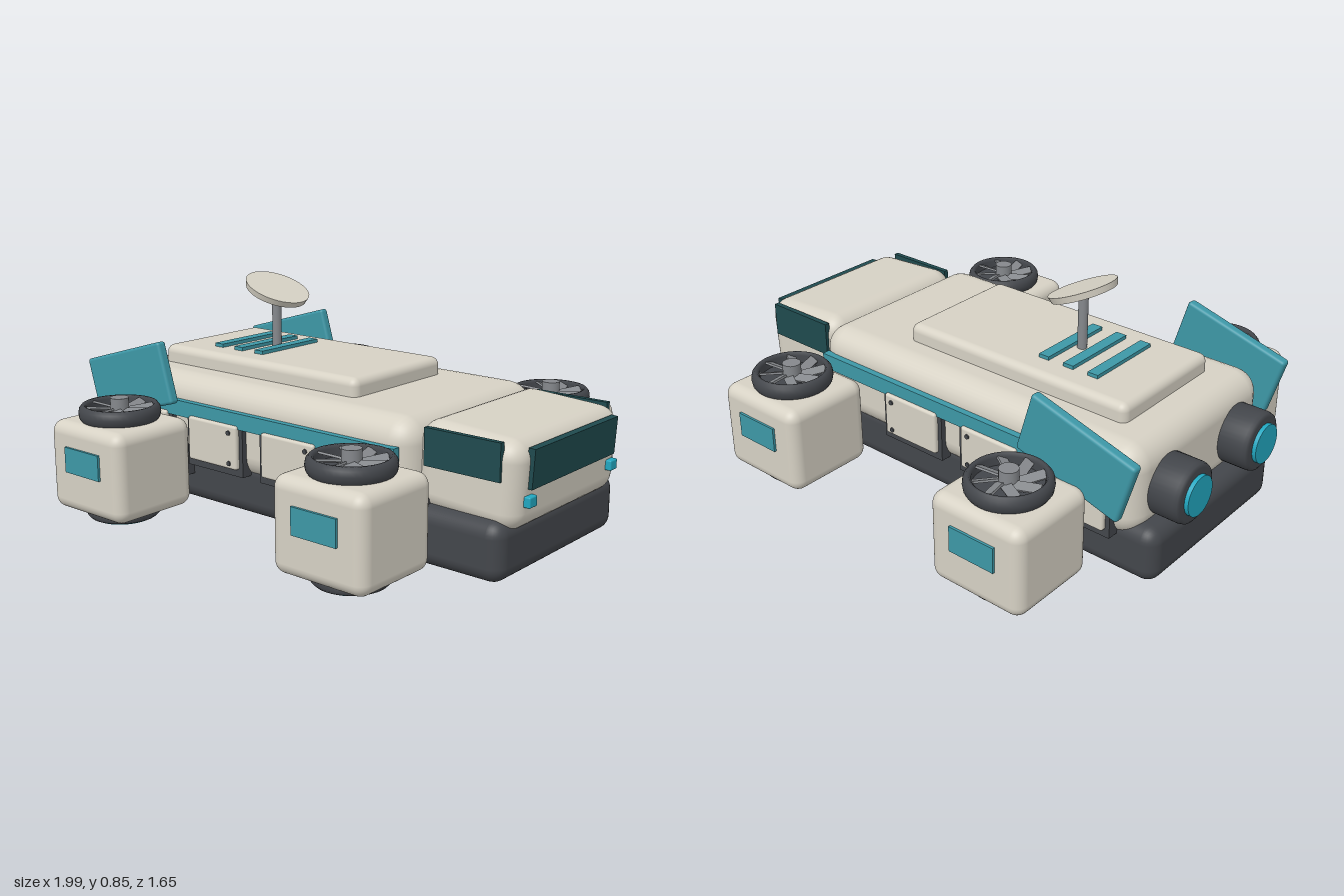
import * as THREE from 'three';
import { RoundedBoxGeometry } from 'three/addons/geometries/RoundedBoxGeometry.js';

const mat = (color) => new THREE.MeshStandardMaterial({ color });
const HULL = mat(0xd6d1c4), DARK = mat(0x43464b), TEAL = mat(0x3d97a6);
const GLASS = mat(0x1f4a4e), LAMP = mat(0x22a7c0), METAL = mat(0x85888c);

function add(parent, name, geometry, material, x, y, z) {
  const mesh = new THREE.Mesh(geometry, material);
  mesh.name = name;
  mesh.position.set(x, y, z);
  parent.add(mesh);
  return mesh;
}
const box = (w, h, d) => new THREE.BoxGeometry(w, h, d);
const rounded = (w, h, d, r) => new RoundedBoxGeometry(w, h, d, 4, r);
const cyl = (r, h, n = 32) => new THREE.CylinderGeometry(r, r, h, n);
const lathe = (pts) => new THREE.LatheGeometry(pts.map(([r, y]) => new THREE.Vector2(r, y)), 40);

// Lift pod with a fan on top and a thruster below; side is +1 or -1 along z
function liftPod(x, z, side) {
  const pod = new THREE.Group();
  pod.name = 'liftPod';
  pod.position.set(x, 0, z * side);
  add(pod, 'podShell', rounded(0.385, 0.335, 0.358, 0.045), HULL, 0, 0.208, 0);
  add(pod, 'podVent', box(0.185, 0.095, 0.02), TEAL, 0, 0.242, side * 0.178);
  add(pod, 'podArm', box(0.22, 0.12, 0.34), DARK, 0, 0.185, side * -0.2);

  // Fan: rounded ring, recessed floor, pitched blades and hub
  add(pod, 'fanRing', lathe([[0.12, 0.37], [0.137, 0.37], [0.147, 0.385], [0.15, 0.402],
    [0.147, 0.42], [0.137, 0.432], [0.128, 0.432], [0.12, 0.422], [0.12, 0.37]]), DARK, 0, 0, 0);
  add(pod, 'fanFloor', cyl(0.125, 0.02), DARK, 0, 0.383, 0);
  add(pod, 'fanHub', cyl(0.034, 0.07, 24), METAL, 0, 0.42, 0);
  for (let i = 0; i < 8; i++) {
    const spoke = new THREE.Group();
    spoke.name = 'fanSpoke';
    spoke.rotation.y = (i / 8) * Math.PI * 2;
    const blade = add(spoke, 'fanBlade', box(0.1, 0.008, 0.036), METAL, 0.073, 0.413, 0);
    blade.rotation.set(0.4, 0.28, 0);
    pod.add(spoke);
  }

  // Thruster underneath
  add(pod, 'thrusterRing', lathe([[0, 0.055], [0.12, 0.055], [0.134, 0.045], [0.134, 0.018],
    [0.124, 0.008], [0, 0.008]].reverse()), DARK, 0, 0, 0);
  add(pod, 'thrusterGlow', cyl(0.107, 0.012), LAMP, 0, 0.006, 0);
  return pod;
}

// Framed locker door with two bolts
function lockerDoor(x, side) {
  const door = new THREE.Group();
  door.name = 'lockerDoor';
  door.position.set(x, 0, 0);
  add(door, 'doorFrame', box(0.285, 0.19, 0.05), DARK, 0, 0.27, side * 0.395);
  add(door, 'doorPanel', rounded(0.25, 0.165, 0.05, 0.01), HULL, 0, 0.285, side * 0.413);
  for (const y of [0.34, 0.225]) {
    const bolt = add(door, 'doorBolt', cyl(0.009, 0.01, 12), DARK, 0.09, y, side * 0.438);
    bolt.rotation.x = Math.PI / 2;
  }
  return door;
}

export function createModel() {
  const model = new THREE.Group();
  model.name = 'hoverTransport';

  // Hull
  add(model, 'skirt', rounded(1.88, 0.21, 0.756, 0.055), DARK, 0, 0.12, 0);
  add(model, 'body', rounded(1.47, 0.345, 0.8, 0.09), HULL, -0.135, 0.333, 0);
  add(model, 'deck', rounded(0.975, 0.12, 0.51, 0.03), HULL, -0.233, 0.512, 0);
  for (const x of [-0.515, -0.41, -0.303])
    add(model, 'deckSlat', box(0.043, 0.025, 0.315), TEAL, x, 0.573, 0);

  // Cab, pitched slightly down towards the nose
  const cab = new THREE.Group();
  cab.name = 'cab';
  cab.position.set(0.77, 0.34, 0);
  cab.rotation.z = -0.06;
  add(cab, 'cabShell', rounded(0.4, 0.31, 0.68, 0.07), HULL, 0, 0, 0);
  add(cab, 'windshield', box(0.025, 0.135, 0.535), GLASS, 0.202, 0.066, 0);
  model.add(cab);

  // Dish on a mast
  add(model, 'mast', cyl(0.018, 0.24, 16), METAL, -0.352, 0.67, 0);
  const dish = add(model, 'dish', new THREE.CylinderGeometry(0.127, 0.12, 0.025, 40), HULL, -0.35, 0.795, 0);
  dish.rotation.z = -0.39;

  for (const side of [1, -1]) {
    add(model, 'sideWindow', box(0.295, 0.13, 0.02), GLASS, 0.768, 0.42, side * 0.338);
    add(model, 'headlight', rounded(0.03, 0.037, 0.045, 0.005), LAMP, 0.974, 0.287, side * 0.262);
    add(model, 'sideStripe', box(1.26, 0.06, 0.03), TEAL, -0.075, 0.385, side * 0.41);
    for (const x of [-0.65, -0.28, 0.092]) model.add(lockerDoor(x, side));

    // Tail fin
    const fin = add(model, 'tailFin', rounded(0.432, 0.236, 0.04, 0.012), TEAL, -0.682, 0.467, side * 0.461);
    fin.rotation.z = 0.285;

    // Rear engine
    const engine = new THREE.Group();
    engine.name = 'rearEngine';
    engine.position.set(-0.85, 0.325, side * 0.212);
    engine.rotation.z = Math.PI / 2;
    add(engine, 'engineCasing', lathe([[0, -0.06], [0.11, -0.06], [0.11, 0.115], [0.106, 0.128],
      [0.095, 0.135], [0, 0.135]]), DARK, 0, 0, 0);
    add(engine, 'engineGlow', cyl(0.073, 0.03), LAMP, 0, 0.135, 0);
    model.add(engine);

    model.add(liftPod(-0.548, 0.638, side));
    model.add(liftPod(0.527, 0.603, side));
  }
  return model;
}
